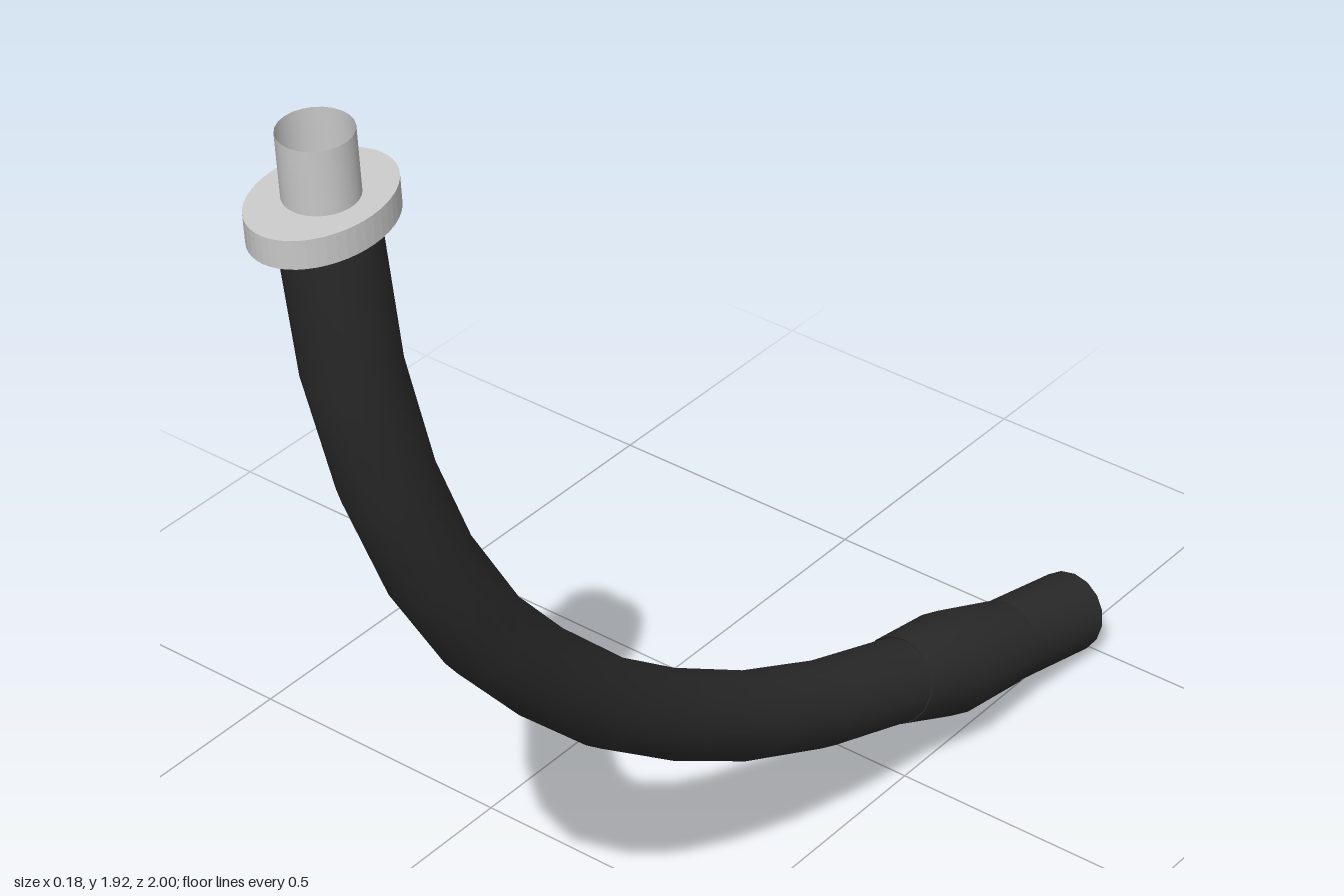
import * as THREE from 'three';

const SIDES = 16;

// Open tube lofted through rings [z, y, radius] lying in the x = 0 plane
function loft(name, rings, material) {
  const pos = [], idx = [];
  const pts = rings.map(([z, y]) => new THREE.Vector3(0, y, z));
  rings.forEach(([, , r], i) => {
    const a = pts[Math.max(i - 1, 0)], b = pts[Math.min(i + 1, pts.length - 1)];
    const dir = b.clone().sub(a).normalize();
    const across = new THREE.Vector3(0, dir.z, -dir.y);
    for (let j = 0; j < SIDES; j++) {
      const t = (j / SIDES) * Math.PI * 2;
      const p = pts[i].clone().addScaledVector(across, r * Math.sin(t));
      pos.push(r * Math.cos(t), p.y, p.z);
      if (i === 0) continue;
      const k = (j + 1) % SIDES, c = i * SIDES, d = c - SIDES;
      idx.push(d + j, d + k, c + k, d + j, c + k, c + j);
    }
  });
  const geo = new THREE.BufferGeometry();
  geo.setAttribute('position', new THREE.Float32BufferAttribute(pos, 3));
  geo.setIndex(idx);
  geo.computeVertexNormals();
  const mesh = new THREE.Mesh(geo, material);
  mesh.name = name;
  return mesh;
}

export function createModel() {
  const model = new THREE.Group();
  model.name = 'bentPipe';
  const dark = new THREE.MeshStandardMaterial({ color: 0x2b2b2b, side: THREE.DoubleSide });
  const grey = new THREE.MeshStandardMaterial({ color: 0xcccccc, side: THREE.DoubleSide });

  // Long curved hose, from the flange down towards the back
  const path = [
    [0.872, 1.79], [0.835, 1.525], [0.775, 1.31], [0.69, 1.11], [0.58, 0.93], [0.45, 0.78],
    [0.30, 0.635], [0.13, 0.51], [-0.05, 0.40], [-0.25, 0.305], [-0.465, 0.228],
  ];
  model.add(loft('hose', path.map(([z, y]) => [z, y, 0.073]), dark));

  // Bulging sleeve and the straight open end piece
  model.add(loft('sleeve', [[-0.465, 0.228, 0.075], [-0.61, 0.179, 0.091], [-0.775, 0.127, 0.075]], dark));
  model.add(loft('endPipe', [[-0.775, 0.127, 0.073], [-0.982, 0.076, 0.073]], dark));

  // Tilted fitting at the top: oval flange with a hollow spigot
  const fitting = new THREE.Group();
  fitting.name = 'fitting';
  fitting.position.set(0, 1.8, 0.877);
  fitting.rotation.x = 0.06;

  const oval = new THREE.Shape().absellipse(0, 0, 0.091, 0.122, 0, Math.PI * 2);
  oval.holes.push(new THREE.Path().absellipse(0, 0, 0.055, 0.055, 0, Math.PI * 2, true));
  const plate = new THREE.ExtrudeGeometry(oval, { depth: 0.046, bevelEnabled: false, curveSegments: 24 });
  plate.rotateX(-Math.PI / 2).translate(0, -0.023, 0);
  const flange = new THREE.Mesh(plate, grey);
  flange.name = 'flange';

  const spigot = new THREE.Mesh(new THREE.CylinderGeometry(0.055, 0.055, 0.148, 24, 1, true), grey);
  spigot.name = 'spigot';
  spigot.position.y = 0.051;
  fitting.add(flange, spigot);
  model.add(fitting);

  return model;
}
